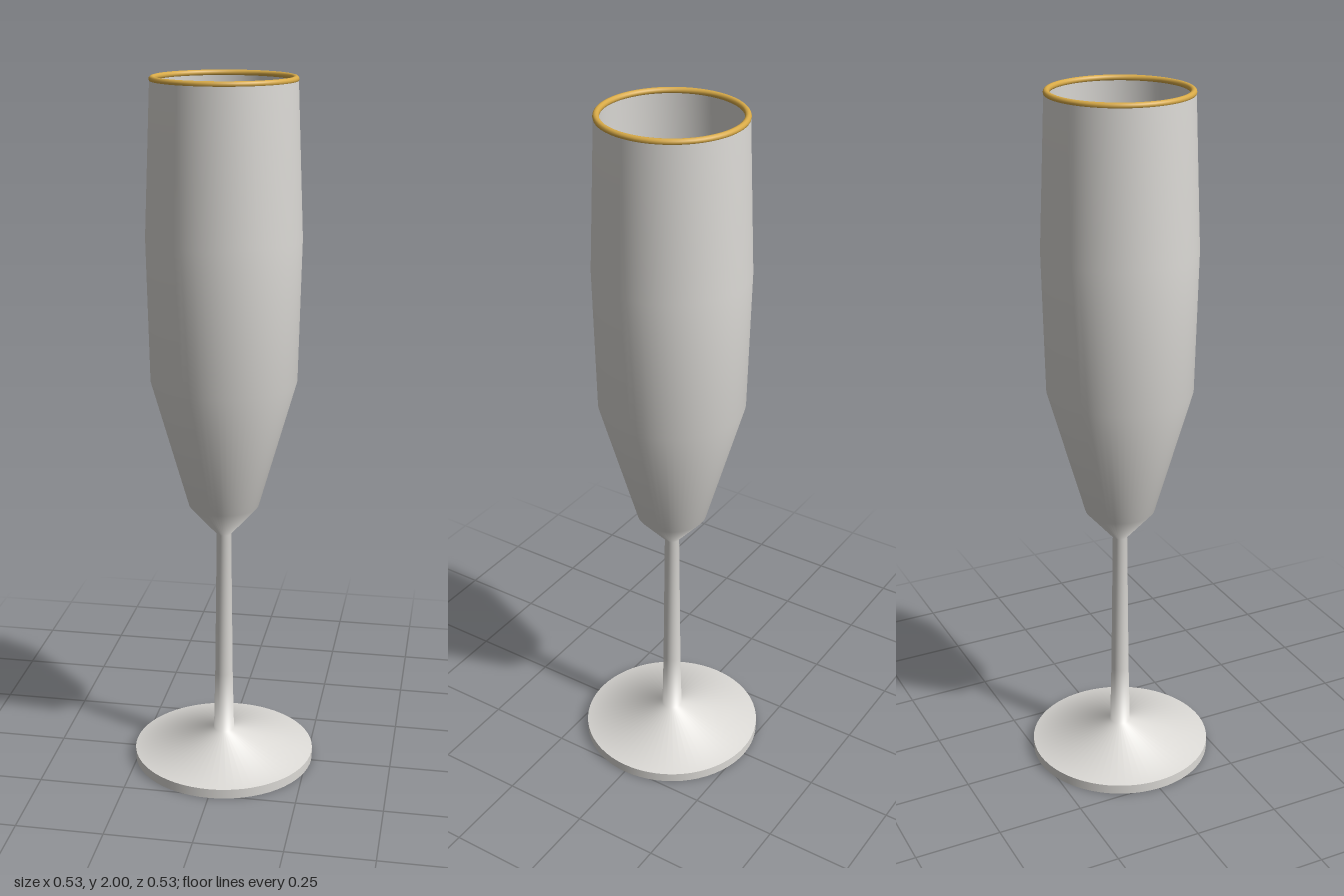
import * as THREE from 'three';

export function createModel() {
  const group = new THREE.Group();
  const glass = new THREE.MeshStandardMaterial({ color: 0xdcdad6 });
  glass.name = 'pale grey glass';
  const gold = new THREE.MeshStandardMaterial({ color: 0xd9ab48 });
  gold.name = 'gold';

  const add = (name, geometry, material, y = 0) => {
    const mesh = new THREE.Mesh(geometry, material);
    mesh.name = name;
    mesh.position.y = y;
    group.add(mesh);
    return mesh;
  };
  // Revolve [radius, height] pairs: upward order faces out, downward faces in
  const lathe = (points) =>
    new THREE.LatheGeometry(points.map(([r, y]) => new THREE.Vector2(r, y)), 64);

  // Foot: flat underside, thin edge and shallow cone, flowing into the stem and bowl
  add('footUnderside', new THREE.CircleGeometry(0.265, 64).rotateX(Math.PI / 2), glass);
  add('footEdge', lathe([[0.265, 0], [0.265, 0.028]]), glass);
  add('footStemAndBowl', lathe([
    [0.265, 0.028], [0.03, 0.085], [0.026, 0.27], [0.021, 0.71],
    [0.1, 0.8], [0.205, 1.17], [0.214, 1.57], [0.197, 1.992],
  ]), glass);

  // Hollow inside of the bowl, ending in a flat floor
  add('bowlInside', lathe([[0.184, 1.992], [0.202, 1.57], [0.193, 1.2]]), glass);
  add('bowlFloor', new THREE.CircleGeometry(0.194, 64).rotateX(-Math.PI / 2), glass, 1.2);

  // Gilded lip
  add('rim', new THREE.TorusGeometry(0.19, 0.0085, 12, 64).rotateX(Math.PI / 2), gold, 1.9915);

  return group;
}
